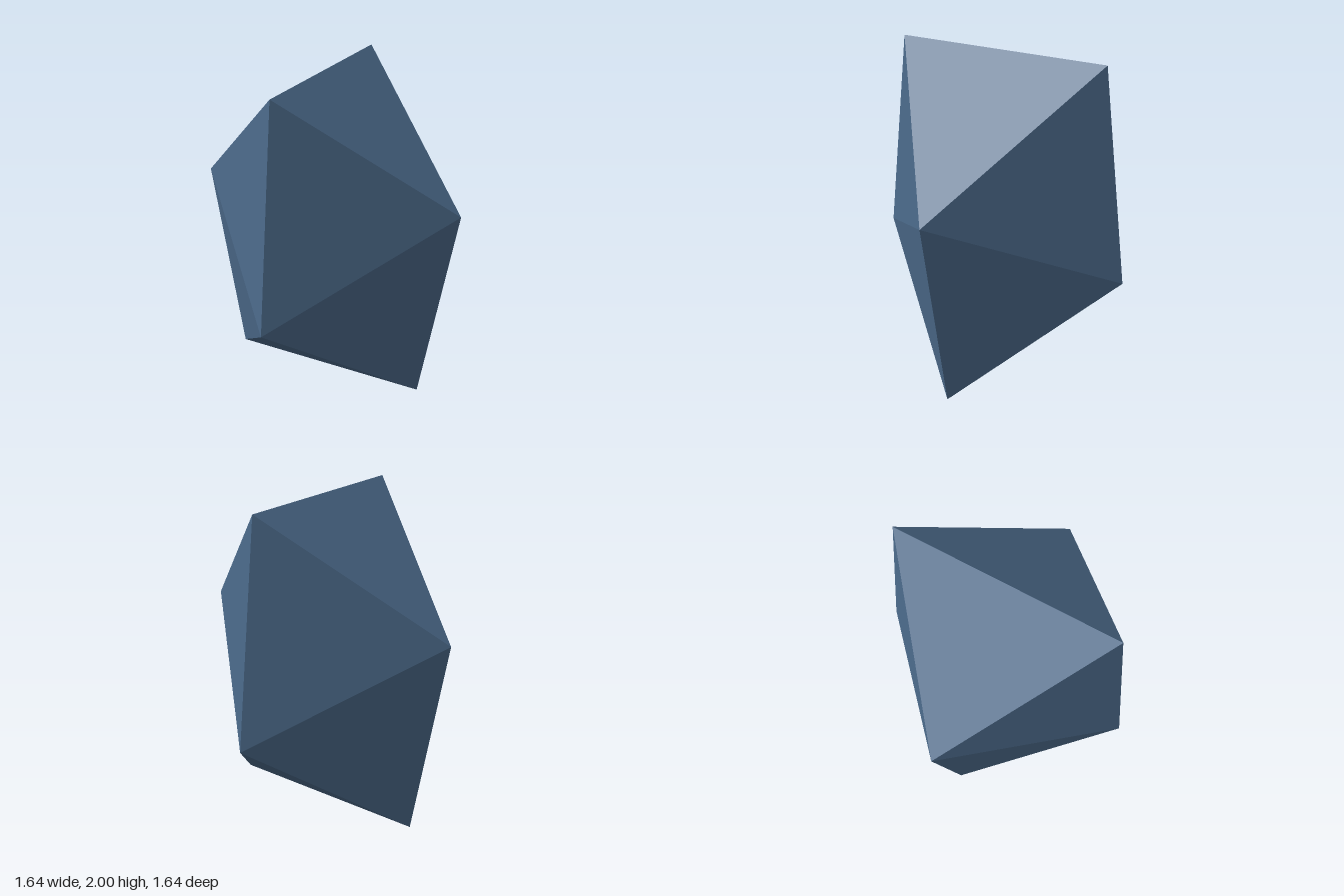
import * as THREE from 'three';
import { ConvexGeometry } from 'three/addons/geometries/ConvexGeometry.js';

export function createModel() {
  const slateBlue = new THREE.MeshStandardMaterial({ color: 0x4a6888 });
  slateBlue.name = 'slate blue';

  // Twelve-triangle solid: two crossed ridges and two pairs of shoulder corners
  const corners = [];
  for (const s of [-1, 1]) {
    corners.push(
      new THREE.Vector3(0, 2, s * 0.636), // top ridge, along z
      new THREE.Vector3(s * 0.636, 0, 0), // bottom ridge, along x
      new THREE.Vector3(s * 0.82, 1.264, 0), // side shoulders
      new THREE.Vector3(0, 0.736, s * 0.82) // front and back shoulders
    );
  }

  const solid = new THREE.Mesh(new ConvexGeometry(corners), slateBlue);
  solid.name = 'snubDisphenoid';

  const group = new THREE.Group();
  group.name = 'facetedSolid';
  group.add(solid);
  return group;
}
